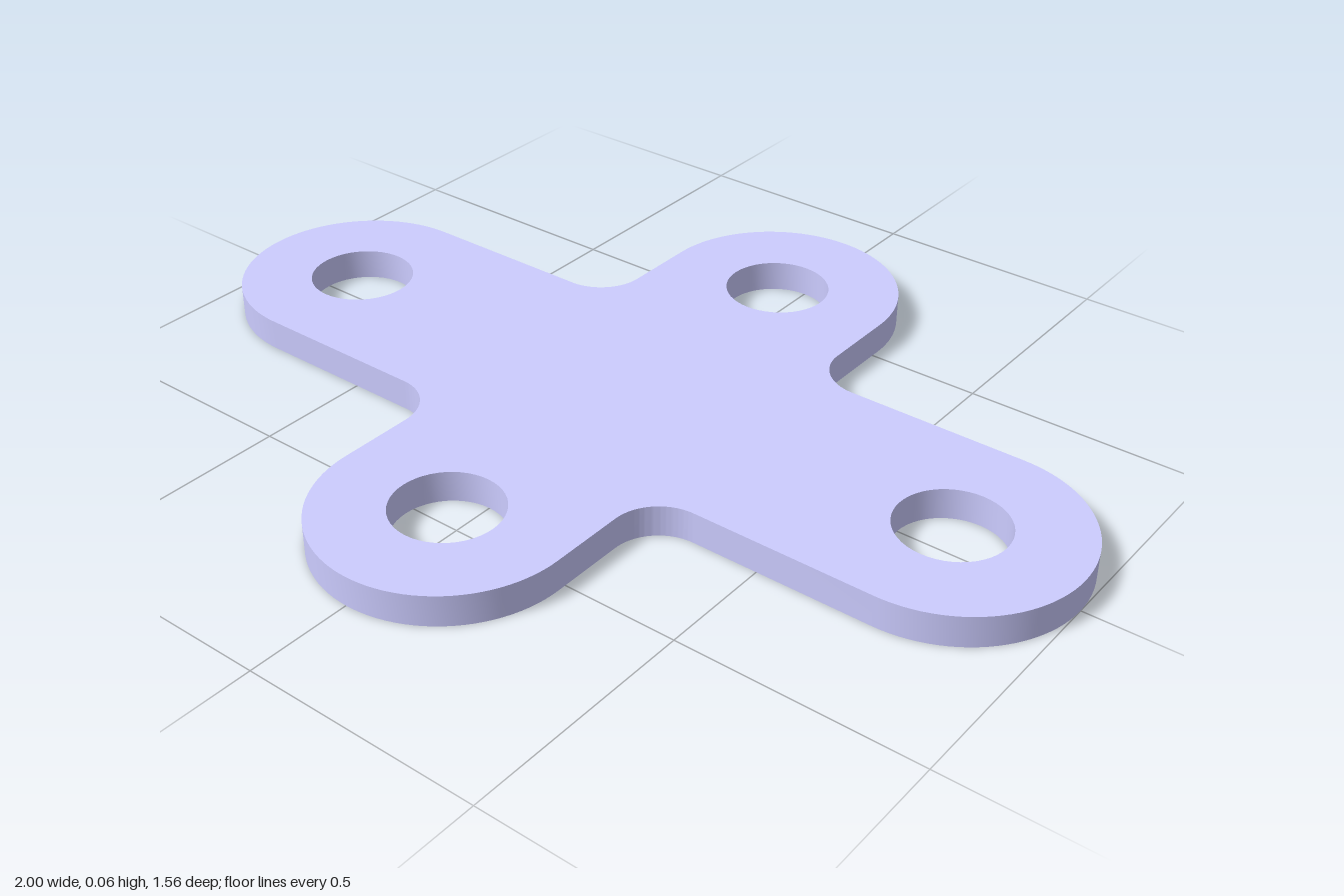
import * as THREE from 'three';
import { toCreasedNormals } from 'three/addons/utils/BufferGeometryUtils.js';

const HALF_WIDTH = 0.26;   // arm half width and end cap radius
const REACH_X = 0.74;      // hole centres along x
const REACH_Z = 0.52;      // hole centres along z
const FILLET = 0.1;        // inner corner radius
const HOLE = 0.11;
const THICKNESS = 0.065;

export function createModel() {
  const group = new THREE.Group();
  group.name = 'crossPlate';

  // Outline: a rounded arm end, then a filleted inner corner, four times round
  const shape = new THREE.Shape();
  const corner = HALF_WIDTH + FILLET;
  const quarter = Math.PI / 2;
  for (let i = 0; i < 4; i++) {
    const a = i * quarter;
    const cx = Math.cos(a) * REACH_X;
    const cy = Math.sin(a) * REACH_Z;
    shape.absarc(cx, cy, HALF_WIDTH, a - quarter, a + quarter, false);
    const sx = Math.sign(Math.cos(a + quarter / 2));
    const sy = Math.sign(Math.sin(a + quarter / 2));
    shape.absarc(sx * corner, sy * corner, FILLET, a - quarter, a - 2 * quarter, true);

    // Bolt hole in the arm end
    const hole = new THREE.Path();
    hole.absarc(cx, cy, HOLE, 0, Math.PI * 2, true);
    shape.holes.push(hole);
  }
  shape.closePath();

  // Flat plate lying on the ground
  const geometry = new THREE.ExtrudeGeometry(shape, {
    depth: THICKNESS, bevelEnabled: false, curveSegments: 24,
  });
  geometry.rotateX(-quarter);

  const plate = new THREE.Mesh(
    toCreasedNormals(geometry, Math.PI / 5),
    new THREE.MeshStandardMaterial({ color: 0xccccff }),
  );
  plate.name = 'plate';
  group.add(plate);
  return group;
}
